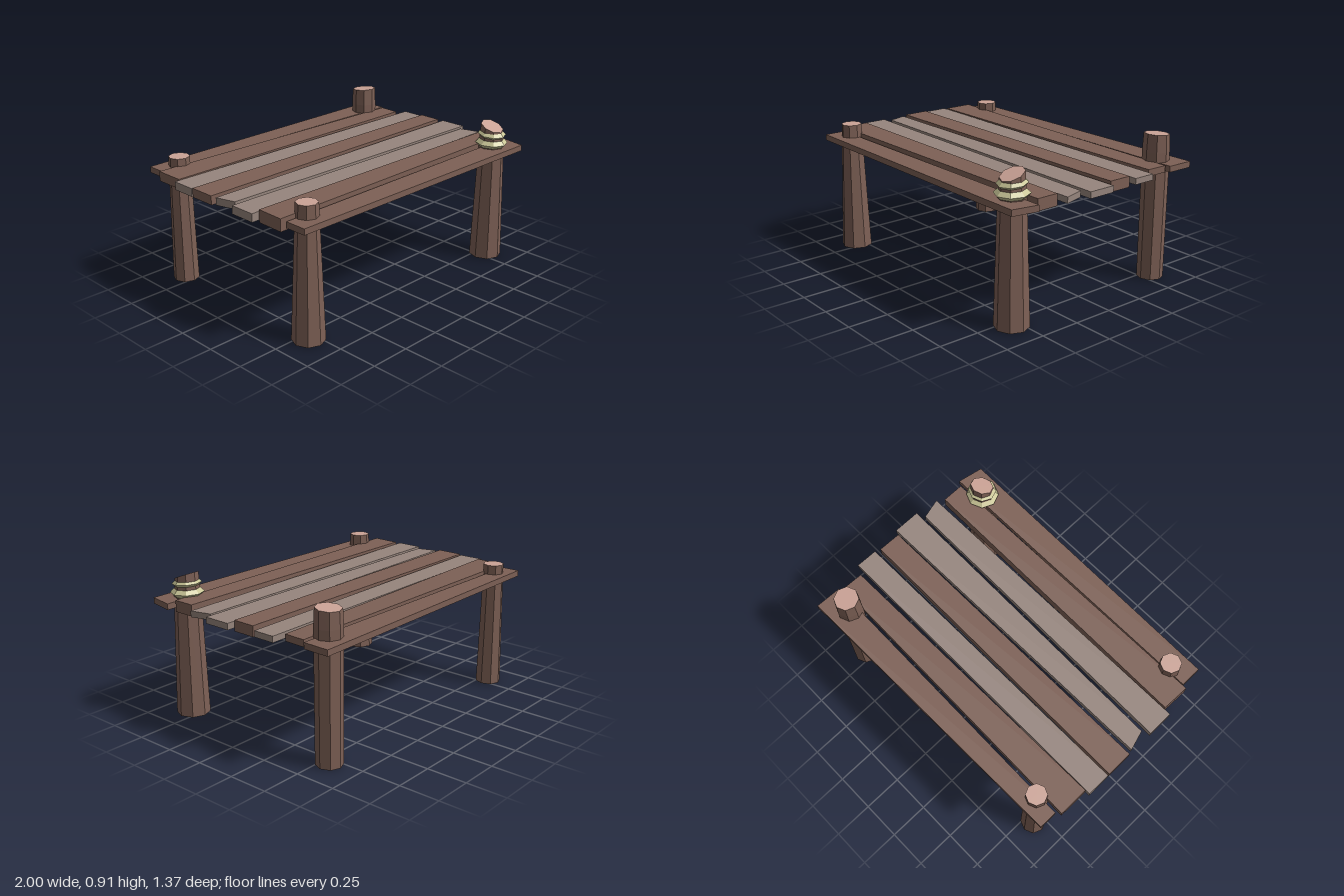
import * as THREE from 'three';

const mat = (name, color, side = THREE.FrontSide) => {
  const m = new THREE.MeshStandardMaterial({ color, side, flatShading: true });
  m.name = name;
  return m;
};

export function createModel() {
  const brown = mat('brown wood', 0x7d6055);
  const bark = mat('post wood', 0x7d6055, THREE.DoubleSide);
  const grey = mat('weathered wood', 0x96857d);
  const cut = mat('cut wood', 0xcba396);
  const rope = mat('rope', 0xcbc798);

  const model = new THREE.Group();
  const add = (name, geometry, material, parent = model) => {
    const mesh = new THREE.Mesh(geometry, material);
    mesh.name = name;
    parent.add(mesh);
    return mesh;
  };

  // Plank: each end is [x at back edge, x at front edge, back z, front z, bottom y, top y]
  function plank(name, material, left, right) {
    const g = new THREE.BoxGeometry(1, 1, 1);
    const p = g.attributes.position;
    for (let i = 0; i < p.count; i++) {
      const end = p.getX(i) < 0 ? left : right;
      const front = p.getZ(i) > 0 ? 1 : 0;
      const top = p.getY(i) > 0 ? 1 : 0;
      p.setXYZ(i, end[front], end[4 + top], end[2 + front]);
    }
    g.computeVertexNormals();
    add(name, g, material);
  }

  // Deck, from back to front
  const low = 0.705, high = 0.742;
  plank('plank1', brown, [-0.94, -0.94, -0.66, -0.545, low, high], [0.955, 0.95, -0.683, -0.515, low, high]);
  plank('plank2', brown, [-0.97, -0.97, -0.525, -0.335, 0.695, 0.755], [0.93, 0.925, -0.495, -0.36, low, 0.746]);
  plank('plank3', grey, [-1, -1, -0.332, -0.18, 0.7, 0.75], [0.987, 0.985, -0.328, -0.19, low, high]);
  plank('plank4', brown, [-1, -1, -0.17, -0.003, 0.7, 0.755], [0.965, 0.963, -0.16, -0.015, 0.692, 0.757]);
  plank('plank5', grey, [-0.99, -0.955, 0.025, 0.147, 0.705, 0.75], [1, 1, 0, 0.173, low, 0.744]);
  plank('plank6', grey, [-1, -1, 0.175, 0.34, 0.7, 0.75], [0.945, 0.98, 0.195, 0.323, low, high]);
  plank('plank7', brown, [-0.955, -0.96, 0.345, 0.52, 0.688, 0.763], [0.94, 0.94, 0.36, 0.497, 0.69, 0.76]);
  plank('plank8', brown, [-0.93, -0.93, 0.532, 0.667, low, high], [0.98, 0.95, 0.522, 0.682, low, high]);

  // Octagonal post: profile of [radius, y] points, with a sawn top tilted by slope along z
  function post(name, x, z, profile, slope) {
    const group = new THREE.Group();
    group.name = name;
    group.position.set(x, 0, z);
    model.add(group);
    const [topR, topY] = profile[profile.length - 1];
    const tilt = (g) => {
      const p = g.attributes.position;
      for (let i = 0; i < p.count; i++) {
        if (p.getY(i) > topY - 1e-4) p.setY(i, topY + slope * p.getZ(i));
      }
      g.computeVertexNormals();
      return g;
    };
    const shaft = new THREE.LatheGeometry(profile.map(([r, y]) => new THREE.Vector2(r, y)), 8);
    add(name + 'Shaft', tilt(shaft), bark, group);
    const cap = new THREE.CircleGeometry(topR, 8).rotateX(-Math.PI / 2).translate(0, topY, 0);
    add(name + 'CutTop', tilt(cap), cut, group);
    return group;
  }

  post('frontLeftPost', 0.8, 0.553, [[0.102, 0], [0.08, 0.74], [0.07, 0.873]], -0.4)
    // Two rope coils around the post
    .add(...[[0.078, 0.024, 0.77, 0.03], [0.066, 0.023, 0.825, 0.1]].map(([r, tube, y, lean], i) => {
      const coil = new THREE.Mesh(new THREE.TorusGeometry(r, tube, 4, 8).rotateX(Math.PI / 2), rope);
      coil.name = 'ropeCoil' + (i + 1);
      coil.position.y = y;
      coil.rotation.x = lean;
      return coil;
    }));
  post('frontRightPost', -0.8, 0.55, [[0.097, 0], [0.064, 0.822]], 0);
  post('backLeftPost', 0.8, -0.555, [[0.08, 0], [0.081, 0.8], [0.076, 0.903]], 0.08);
  post('backRightPost', -0.8, -0.558, [[0.08, 0], [0.064, 0.8]], 0);

  return model;
}
